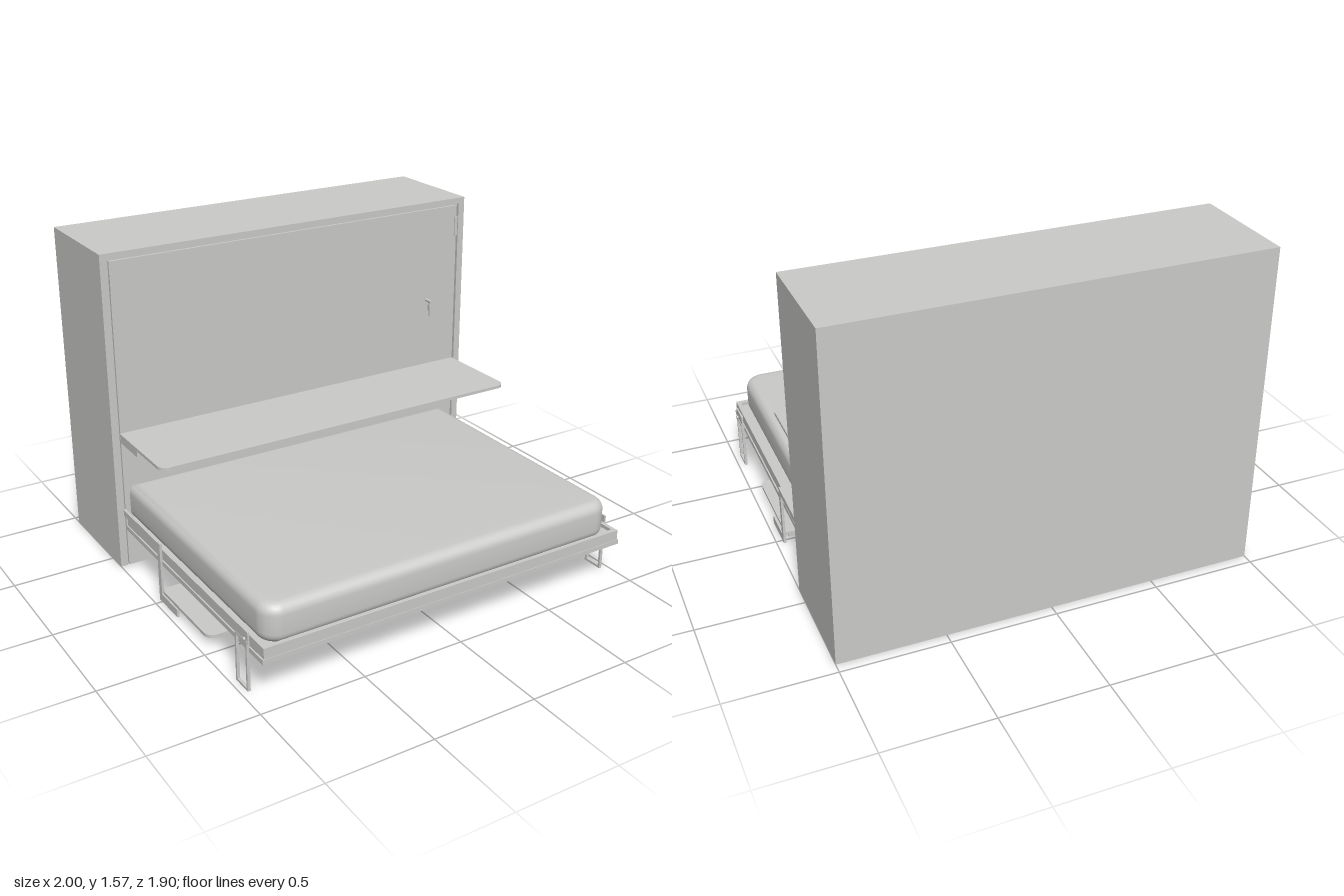
import * as THREE from 'three';
import { toCreasedNormals } from 'three/addons/utils/BufferGeometryUtils.js';

export function createModel() {
  const model = new THREE.Group();
  model.name = 'wallBed';
  const grey = new THREE.MeshStandardMaterial({ color: 0xcacac8 });
  grey.name = 'light grey';

  const add = (name, geometry) => {
    const mesh = new THREE.Mesh(geometry, grey);
    mesh.name = name;
    model.add(mesh);
    return mesh;
  };

  // Box given by its limits on each axis
  const box = (name, x0, x1, y0, y1, z0, z1) => {
    const mesh = add(name, new THREE.BoxGeometry(x1 - x0, y1 - y0, z1 - z0));
    mesh.position.set((x0 + x1) / 2, (y0 + y1) / 2, (z0 + z1) / 2);
    return mesh;
  };

  // Plan outline with rounded front corners; shape y is model -z
  const plan = (x0, x1, z0, z1, r) => {
    const s = new THREE.Shape();
    s.moveTo(x0, -z0);
    s.lineTo(x0, -z1 + r);
    s.absarc(x0 + r, -z1 + r, r, Math.PI, Math.PI * 1.5, false);
    s.absarc(x1 - r, -z1 + r, r, Math.PI * 1.5, Math.PI * 2, false);
    s.lineTo(x1, -z0);
    s.closePath();
    return s;
  };

  const shelf = (name, z0, z1, y0, y1) => {
    const g = new THREE.ExtrudeGeometry(plan(-0.96, 0.955, z0, z1, 0.045),
      { depth: y1 - y0, bevelEnabled: false, curveSegments: 8 });
    g.rotateX(-Math.PI / 2);
    add(name, g).position.y = y0;
  };

  // Side profile in (z, y), extruded across x
  const sidePlate = (name, points, x, thickness, hole) => {
    const toShape = (p, Type) => new Type(p.map(([z, y]) => new THREE.Vector2(-z, y)));
    const s = toShape(points, THREE.Shape);
    if (hole) s.holes.push(toShape(hole, THREE.Path));
    const g = new THREE.ExtrudeGeometry(s, { depth: thickness, bevelEnabled: false });
    g.translate(0, 0, -thickness / 2);
    g.rotateY(Math.PI / 2);
    add(name, g).position.x = x;
  };

  // Cabinet: closed body, front edging and door panel with a narrow gap
  box('cabinetBody', -1, 1, 0, 1.565, -0.95, -0.415);
  box('cabinetTopEdge', -1, 1, 1.535, 1.565, -0.415, -0.4);
  for (const s of [-1, 1]) {
    box('cabinetSideEdge', s < 0 ? -1 : 0.965, s < 0 ? -0.965 : 1, 0, 1.535, -0.415, -0.4);
  }
  box('doorPanel', -0.957, 0.952, 0, 1.527, -0.415, -0.402);

  // Upper shelf and its supports
  shelf('upperShelf', -0.402, 0.055, 0.68, 0.695);
  box('upperShelfRail', -0.945, 0.94, 0.665, 0.68, -0.402, -0.38);

  // Lower shelf hanging below the bed
  shelf('lowerShelf', -0.02, 0.46, 0.04, 0.055);
  box('lowerShelfRail', -0.945, 0.94, 0.028, 0.04, -0.02, 0.005);
  box('lowerShelfFrontRail', -0.945, 0.94, 0.028, 0.04, 0.03, 0.05);

  // Bed platform and raised rim
  box('bedBase', -0.957, 0.95, 0.19, 0.212, -0.402, 0.95);
  box('bedFootRim', -0.95, 0.943, 0.212, 0.262, 0.925, 0.947);
  for (const x of [-0.94, 0.933]) {
    box('bedSideRim', x - 0.01, x + 0.01, 0.212, 0.262, -0.402, 0.925);
  }
  box('slatDeck', -0.93, 0.923, 0.212, 0.245, -0.402, 0.925);

  // Mattress with softly rounded edges
  const bevel = 0.05;
  const mattress = new THREE.ExtrudeGeometry(
    plan(-0.93 + bevel, 0.898 - bevel, -0.37, 0.935 - bevel, 0.04),
    { depth: 0.185 - bevel * 2, bevelThickness: bevel, bevelSize: bevel, bevelSegments: 7, curveSegments: 8 });
  mattress.rotateX(-Math.PI / 2);
  add('mattress', toCreasedNormals(mattress, 0.8)).position.y = 0.24 + bevel;

  for (const s of [-1, 1]) {
    const x = s * 0.962;

    // Bracket under each end of the upper shelf
    box('upperShelfBracket', s * 0.95 - 0.006, s * 0.95 + 0.006, 0.645, 0.68, -0.402, -0.22);

    // Cranked arm carrying the lower shelf
    sidePlate('shelfArm', [
      [-0.405, 0.3], [-0.405, 0.27], [-0.025, 0.27], [-0.025, 0],
      [0.16, 0], [0.16, 0.04], [0.003, 0.04], [0.003, 0.3],
    ], x, 0.012);

    // Folding loop leg with a mounting plate and pivot
    sidePlate('loopLeg',
      [[0.835, 0], [0.732, 0], [0.732, 0.24], [0.835, 0.24]], x, 0.014,
      [[0.824, 0.011], [0.824, 0.229], [0.743, 0.229], [0.743, 0.011]]);
    box('legPlate', x - 0.004, x + 0.004, 0.23, 0.285, 0.732, 0.84);
    const pivot = add('legPivot', new THREE.CylinderGeometry(0.008, 0.008, 0.05, 12));
    pivot.rotation.z = Math.PI / 2;
    pivot.position.set(s * 0.95, 0.245, 0.815);

    // Hinge plate on the door edge
    box('hingePlate', s * 0.95 - 0.008, s * 0.95 + 0.008, 1.37, 1.47, -0.405, -0.397);
  }

  // Small lever handle hanging from a stem
  const stem = add('handleStem', new THREE.CylinderGeometry(0.008, 0.008, 0.045, 12));
  stem.rotation.x = Math.PI / 2;
  stem.position.set(0.777, 1.05, -0.381);
  box('handleLever', 0.773, 0.781, 0.97, 1.05, -0.373, -0.364);
  box('handleGrip', 0.771, 0.783, 1.0, 1.03, -0.378, -0.36);

  return model;
}
